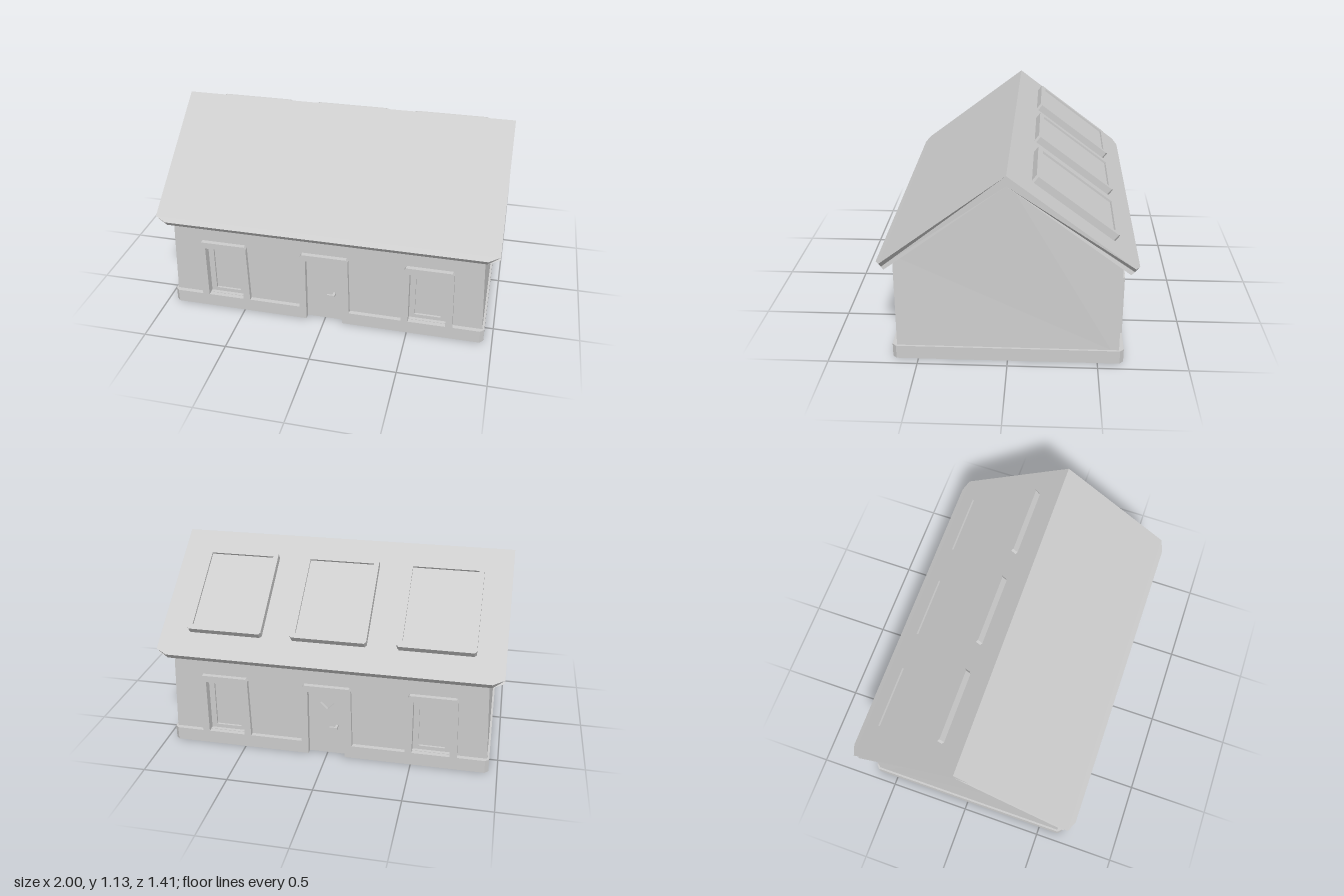
import * as THREE from 'three';

const plaster = new THREE.MeshStandardMaterial({ color: 0xcccccc });
plaster.name = 'plain grey';

const BASE = 0.08;      // top of the plinth
const WALL_Z = 0.618;   // outer face of the front and back walls
const CORE_Z = 0.575;   // depth of the solid core behind the openings
const SLOPE = 0.757;
const RIDGE = 1.135;
const OPEN_W = 0.11;    // half width of door and window openings
const OPEN_TOP = 0.415;
const BAY = 0.615;      // spacing of windows and skylights

const pts = list => list.map(([x, y]) => new THREE.Vector2(x, y));
const rect = (w, y0, y1, cx = 0) => [[cx - w, y0], [cx + w, y0], [cx + w, y1], [cx - w, y1]];

function extrude(outline, depth, holes = []) {
  const shape = new THREE.Shape(pts(outline));
  holes.forEach(h => shape.holes.push(new THREE.Path(pts(h))));
  return new THREE.ExtrudeGeometry(shape, { depth, bevelEnabled: false });
}

function add(parent, name, geometry, x = 0, y = 0, z = 0) {
  const mesh = new THREE.Mesh(geometry, plaster);
  mesh.name = name;
  mesh.position.set(x, y, z);
  parent.add(mesh);
  return mesh;
}

// Half width of the walls, which lean inwards a little
const wallX = y => 0.938 - (Math.min(y, 0.62) - BASE) * 0.04;

function moveVertices(geometry, rule) {
  const p = geometry.attributes.position;
  for (let i = 0; i < p.count; i++) {
    p.setX(i, rule(p.getX(i), p.getY(i), p.getZ(i)));
  }
  geometry.computeVertexNormals();
  return geometry;
}

// Extrudes a z-y cross-section along x, centred
function alongX(section, halfWidth) {
  return extrude(section, halfWidth * 2).translate(0, 0, -halfWidth).rotateY(Math.PI / 2);
}

const mirrored = half => [...half, ...half.filter(p => p[0] !== 0).reverse().map(([x, y]) => [-x, y])];

// Raised surround standing on the plinth, open at the bottom
function surround() {
  return extrude([
    [-0.152, BASE], [-0.143, 0.44], [-0.133, 0.455], [0.133, 0.455], [0.143, 0.44], [0.152, BASE],
    [OPEN_W, BASE], [OPEN_W, OPEN_TOP], [-OPEN_W, OPEN_TOP], [-OPEN_W, BASE],
  ], 0.645 - 0.60);
}

function makeFacade(name, hasDiamond) {
  const side = new THREE.Group();
  side.name = name;

  // Wall with window openings and a door opening down to the plinth
  const outline = [
    [-wallX(BASE), BASE], [-OPEN_W, BASE], [-OPEN_W, OPEN_TOP], [OPEN_W, OPEN_TOP], [OPEN_W, BASE],
    [wallX(BASE), BASE], [wallX(0.612), 0.612], [-wallX(0.612), 0.612],
  ];
  const openings = [-BAY, BAY].map(x => rect(OPEN_W, BASE + 0.002, OPEN_TOP, x));
  add(side, 'wall', extrude(outline, WALL_Z - CORE_Z, openings), 0, 0, CORE_Z);

  // Windows
  for (const x of [-BAY, BAY]) {
    add(side, 'windowSurround', surround(), x, 0, 0.60);
    add(side, 'windowSash',
      extrude(rect(OPEN_W, BASE, OPEN_TOP), 0.022, [rect(0.077, 0.105, 0.388)]), x, 0, CORE_Z);
    add(side, 'windowPane', new THREE.BoxGeometry(0.16, 0.29, 0.006), x, 0.247, CORE_Z + 0.006);
  }

  // Door
  add(side, 'doorSurround', surround(), 0, 0, 0.60);
  const d = 0.042;
  const diamond = [[0, 0.335 - d], [d, 0.335], [0, 0.335 + d], [-d, 0.335]];
  add(side, 'door', extrude(rect(OPEN_W, 0, OPEN_TOP), 0.035, hasDiamond ? [diamond] : []), 0, 0, CORE_Z);
  if (hasDiamond) {
    add(side, 'doorPane', new THREE.BoxGeometry(0.1, 0.1, 0.006), 0, 0.335, CORE_Z + 0.015);
  }
  add(side, 'handleStem', new THREE.BoxGeometry(0.014, 0.014, 0.036), 0.058, 0.188, 0.625);
  add(side, 'handle', new THREE.BoxGeometry(0.046, 0.016, 0.01), 0.042, 0.188, 0.642);
  return side;
}

function makeSkylight(x) {
  const light = new THREE.Group();
  light.name = 'skylight';
  const c = 0.012, w = 0.222, h = 0.282;
  const outline = [
    [-w + c, -h], [w - c, -h], [w, -h + c], [w, h - c],
    [w - c, h], [-w + c, h], [-w, h - c], [-w, -h + c],
  ];
  add(light, 'skylightFrame', extrude(outline, 0.042, [rect(0.192, -0.25, 0.25)]));
  add(light, 'skylightPane', new THREE.BoxGeometry(0.39, 0.505, 0.008), 0, 0, 0.026);
  // Lay it on the back slope
  light.rotation.order = 'YXZ';
  light.rotation.set(-Math.atan2(1, SLOPE), Math.PI, 0);
  light.position.set(x, RIDGE - SLOPE * 0.35, -0.35);
  return light;
}

export function createModel() {
  const house = new THREE.Group();
  house.name = 'house';

  // Plinth with clipped corners, notched at both doors
  const px = 0.95, pz = 0.645, c = 0.022, n = 0.60;
  const quarter = [[px, pz - c], [px - c, pz], [OPEN_W, pz], [OPEN_W, n]];
  const front = mirrored(quarter);
  const plan = [...front, ...front.map(([x, z]) => [-x, -z])];
  add(house, 'plinth', extrude(plan, BASE).rotateX(-Math.PI / 2));

  // Core with the gable ends
  const core = mirrored([[0, 1.085], [WALL_Z, 0.612], [CORE_Z, 0.612], [CORE_Z, BASE]]);
  add(house, 'gableWalls', moveVertices(alongX(core, 0.92), (x, y) => Math.sign(x) * wallX(y)));

  // Front and back
  house.add(makeFacade('frontSide', false));
  const back = makeFacade('backSide', true);
  back.rotation.y = Math.PI;
  house.add(back);

  // Roof with clipped eave corners
  const top = [[0.675, 0.624], [0.703, 0.604], [0.677, 0.572], [0.65, 0.59]];
  const roof = [[0, RIDGE], ...top, [0, 1.08], ...top.map(([z, y]) => [-z, y]).reverse()];
  add(house, 'roof', moveVertices(alongX(roof, 1),
    (x, y, z) => (Math.abs(z) > 0.676 ? Math.sign(x) * 0.935 : x)));

  for (const i of [-1, 0, 1]) house.add(makeSkylight(i * BAY));
  return house;
}
